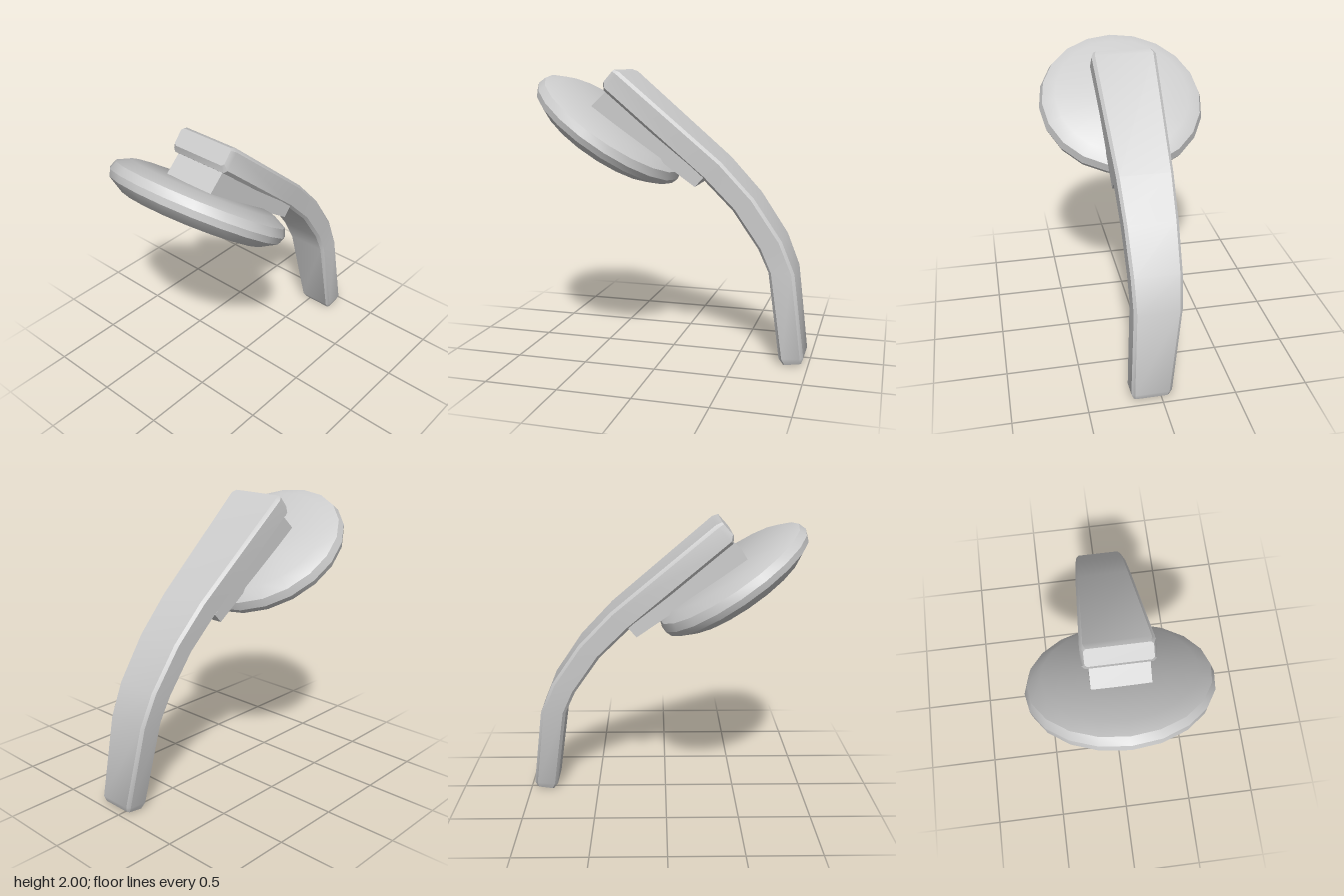
import * as THREE from 'three';
import { toCreasedNormals } from 'three/addons/utils/BufferGeometryUtils.js';

const CREASE = 0.6;
const material = new THREE.MeshStandardMaterial({ color: 0xcccccc, side: THREE.DoubleSide });

function addMesh(parent, name, geometry) {
  const mesh = new THREE.Mesh(toCreasedNormals(geometry, CREASE), material);
  mesh.name = name;
  parent.add(mesh);
  return mesh;
}

// Lofts a chamfered rectangle through sections: back [z, y], front [z, y], x range, chamfer
function loftBar(sections) {
  const positions = [], indices = [];
  for (const { back, front, x, c } of sections) {
    const depth = Math.hypot(front[0] - back[0], front[1] - back[1]);
    const [x0, x1] = x;
    const ring = [
      [x1, c], [x1, depth - c], [x1 - c, depth], [x0 + c, depth],
      [x0, depth - c], [x0, c], [x0 + c, 0], [x1 - c, 0],
    ];
    for (const [px, t] of ring) {
      const k = t / depth;
      positions.push(px, back[1] + (front[1] - back[1]) * k, back[0] + (front[0] - back[0]) * k);
    }
  }
  const n = 8, last = (sections.length - 1) * n;
  for (let s = 0; s < last; s += n) {
    for (let i = 0; i < n; i++) {
      const j = (i + 1) % n;
      indices.push(s + i, s + j, s + n + j, s + i, s + n + j, s + n + i);
    }
  }
  for (let i = 1; i < n - 1; i++) {
    indices.push(0, i + 1, i, last, last + i, last + i + 1);
  }
  const geometry = new THREE.BufferGeometry();
  geometry.setAttribute('position', new THREE.Float32BufferAttribute(positions, 3));
  geometry.setIndex(indices);
  return geometry;
}

export function createModel() {
  const model = new THREE.Group();

  // Curved arm, from its raised end down to its foot
  addMesh(model, 'curvedArm', loftBar([
    { back: [0.37, 2.0], front: [0.45, 1.91], x: [-0.21, 0.21], c: 0.015 },
    { back: [0.33, 1.985], front: [0.445, 1.86], x: [-0.23, 0.227], c: 0.022 },
    { back: [-0.38, 1.385], front: [-0.25, 1.27], x: [-0.195, 0.19], c: 0.02 },
    { back: [-0.606, 1.145], front: [-0.46, 1.06], x: [-0.18, 0.183], c: 0.02 },
    { back: [-0.80, 0.86], front: [-0.64, 0.80], x: [-0.165, 0.177], c: 0.02 },
    { back: [-0.89, 0.64], front: [-0.713, 0.64], x: [-0.148, 0.175], c: 0.02 },
    { back: [-0.97, 0.06], front: [-0.80, 0.045], x: [-0.07, 0.207], c: 0.022 },
    { back: [-0.955, 0.018], front: [-0.83, 0], x: [-0.05, 0.19], c: 0.012 },
  ]));

  // Tilted head, holding the disc and the block behind it
  const head = new THREE.Group();
  head.name = 'tiltedHead';
  head.position.set(0, 1.58, 0.466);
  head.rotation.x = -0.615;
  model.add(head);

  // Round disc with a bevelled rim
  const profile = [
    [0, -0.11], [0.48, -0.108], [0.585, -0.045], [0.6, 0], [0.58, 0.055], [0.49, 0.1], [0, 0.09],
  ].map(([r, y]) => new THREE.Vector2(r, y));
  addMesh(head, 'disc', new THREE.LatheGeometry(profile, 20));

  // Wedge block joining the disc to the arm
  const side = new THREE.Shape([
    [0.165, 0.08], [0.125, 0.265], [-0.765, 0.17], [-0.755, 0.085],
  ].map(([z, y]) => new THREE.Vector2(z, y)));
  const block = new THREE.ExtrudeGeometry(side, { depth: 0.376, bevelEnabled: false });
  block.translate(0, 0, -0.188).rotateY(-Math.PI / 2);
  addMesh(head, 'connectingBlock', block);

  return model;
}
